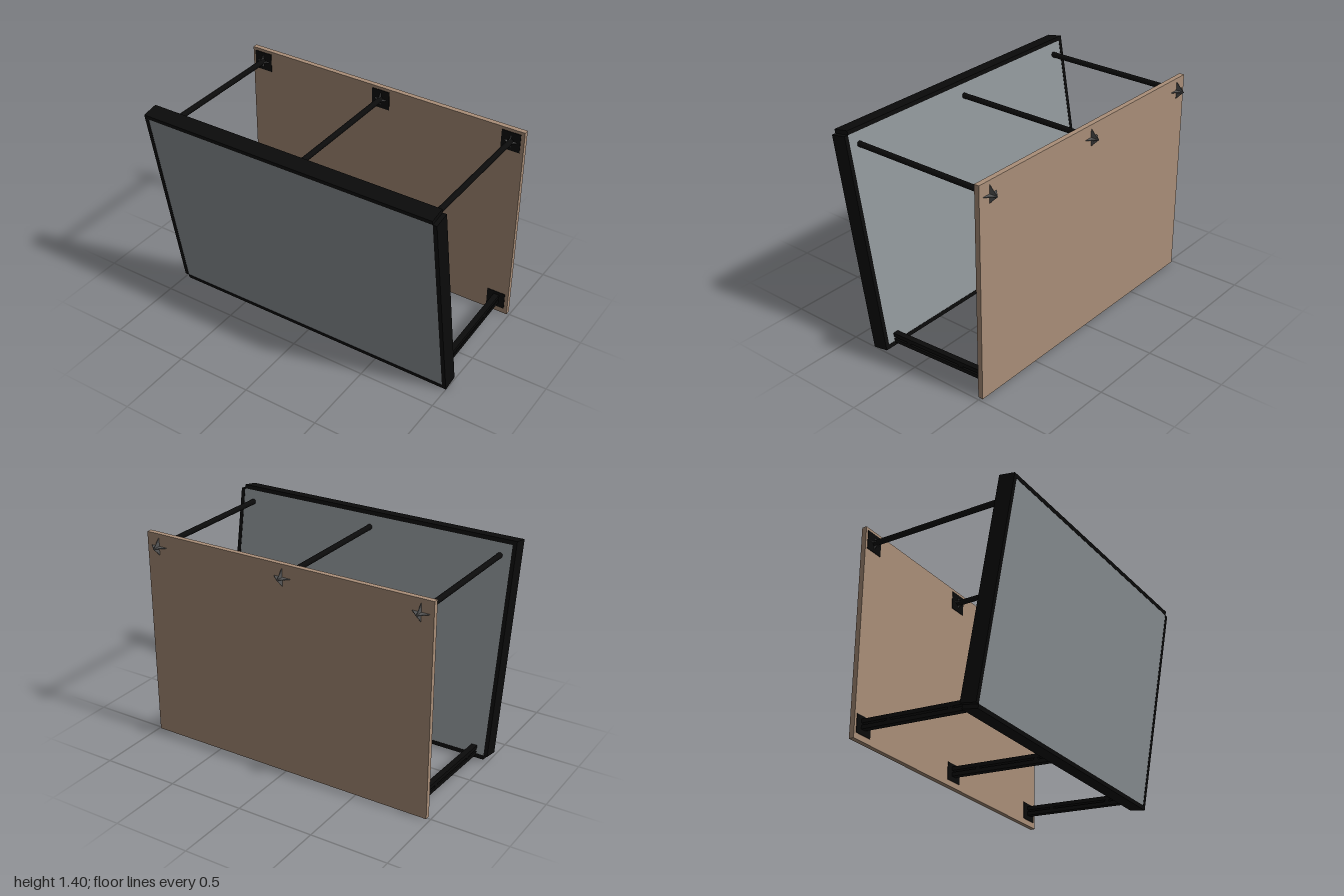
import * as THREE from 'three';

const mat = (color) => new THREE.MeshStandardMaterial({ color });

export function createModel() {
  const root = new THREE.Group();
  const black = mat(0x0b0b0b);
  const glass = mat(0x8e9498);
  const wood = mat(0xa98e78);
  const steel = mat(0x555555);

  const box = (name, size, pos, material, parent = root) => {
    const mesh = new THREE.Mesh(new THREE.BoxGeometry(...size), material);
    mesh.name = name;
    mesh.position.set(...pos);
    parent.add(mesh);
    return mesh;
  };

  // Tilted front panel; each frame bar stops one bar width short of a corner
  const panel = new THREE.Group();
  panel.name = 'tiltedPanel';
  panel.position.set(0, 0.6975, 0.404);
  panel.rotation.x = THREE.MathUtils.degToRad(9.9);
  root.add(panel);
  const W = 2, H = 1.398, T = 0.106, w = 0.026;
  box('pane', [W - 2 * w, H - 2 * w, T - 0.004], [0, 0, 0], glass, panel);
  for (const s of [-1, 1]) {
    box(s > 0 ? 'frameTop' : 'frameBottom', [W - w, w, T], [-s * w / 2, s * (H - w) / 2, 0], black, panel);
    box(s > 0 ? 'frameLeft' : 'frameRight', [w, H - w, T], [s * (W - w) / 2, -s * w / 2, 0], black, panel);
  }

  // Back board
  box('backBoard', [1.966, 1.37, 0.033], [0.003, 0.69, -0.503], wood);

  for (const x of [-0.9, 0, 0.9]) {
    // Upper rod with its mounting plate
    const rod = new THREE.Mesh(new THREE.CylinderGeometry(0.018, 0.018, 0.96, 16), black);
    rod.name = 'upperRod';
    rod.rotation.x = Math.PI / 2;
    rod.position.set(x, 1.293, -0.02);
    root.add(rod);
    box('upperPlate', [0.125, 0.125, 0.004], [x, 1.293, -0.485], black);

    // Crossed diamond fins through the board
    const anchor = new THREE.Group();
    anchor.name = 'anchor';
    anchor.position.set(x, 1.293, -0.508);
    root.add(anchor);
    box('uprightFin', [0.004, 0.094, 0.094], [0, 0, 0], steel, anchor).rotation.x = Math.PI / 4;
    box('flatFin', [0.094, 0.004, 0.094], [0, 0, 0], steel, anchor).rotation.y = Math.PI / 4;

    // Lower strut: two parallel bars joined by spacers, rising to the board
    const strut = new THREE.Group();
    strut.name = 'lowerStrut';
    strut.position.set(x * 1.004, 0.086, -0.123);
    strut.rotation.x = Math.atan2(0.04, 0.73);
    root.add(strut);
    for (const s of [-1, 1]) {
      box('strutBar', [0.038, 0.025, 0.745], [0, s * 0.0185, 0], black, strut);
    }
    for (const z of [0.243, -0.172]) {
      box('strutSpacer', [0.036, 0.014, 0.032], [0, 0, z], black, strut);
    }
    box('lowerPlate', [0.125, 0.115, 0.004], [x, 0.1, -0.485], black);
  }
  return root;
}
